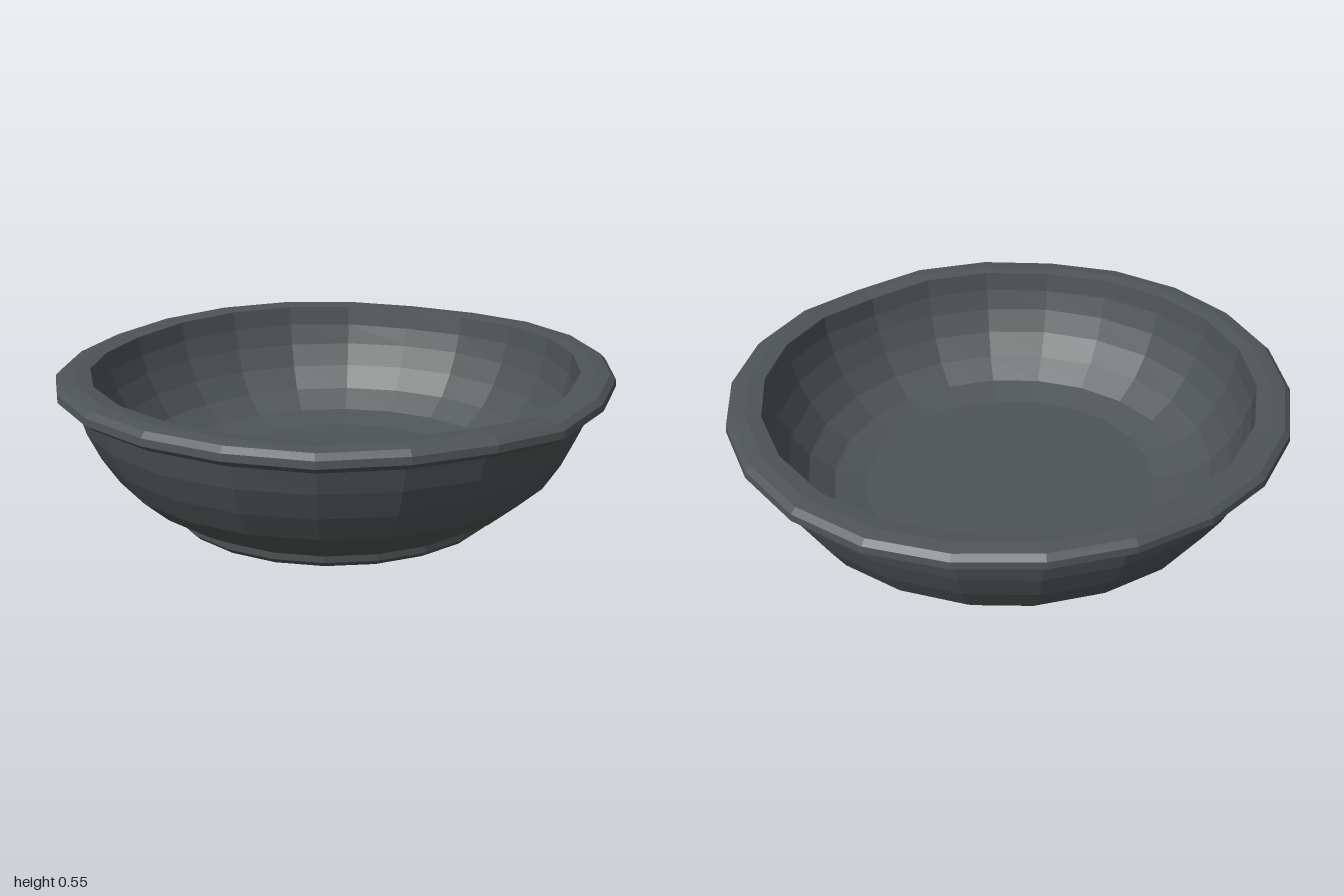
import * as THREE from 'three';

const SIDES = 22;
const bowlGrey = new THREE.MeshStandardMaterial({ color: 0x4f5454 });
bowlGrey.name = 'bowl grey';

// shallow dents around the rim: [angle in degrees from +x towards +z, depth, width in radians]
const dents = [[65, 0.022, 0.25], [-42, 0.016, 0.45], [222, 0.017, 0.45], [112, 0.009, 0.3]];

function rimOffset(angle) {
  let dy = 0;
  for (const [deg, depth, width] of dents) {
    const d = angle - THREE.MathUtils.degToRad(deg);
    const wrapped = Math.atan2(Math.sin(d), Math.cos(d));
    dy -= depth * Math.exp(-((wrapped / width) ** 2));
  }
  return dy;
}

// faceted ring surface from a profile, slightly oval, with the upper part dented
function turned(name, profile) {
  const points = profile.map(([r, y]) => new THREE.Vector2(r, y));
  const geo = new THREE.LatheGeometry(points, SIDES, Math.PI / 2).toNonIndexed();
  const p = geo.attributes.position;
  for (let i = 0; i < p.count; i++) {
    const x = p.getX(i), y = p.getY(i), z = p.getZ(i);
    const weight = THREE.MathUtils.smoothstep(y, 0.38, 0.465);
    p.setXYZ(i, x, y + weight * rimOffset(Math.atan2(z, x)), z * 0.97);
  }
  geo.computeVertexNormals();
  const mesh = new THREE.Mesh(geo, bowlGrey);
  mesh.name = name;
  return mesh;
}

export function createModel() {
  const bowl = new THREE.Group();
  bowl.name = 'bowl';
  bowl.add(
    // slightly recessed underside
    turned('base', [[0, 0.018], [0.54, 0.018]]),
    // standing ring
    turned('foot', [[0.54, 0.018], [0.585, 0], [0.595, 0], [0.615, 0.02], [0.617, 0.045]]),
    // outer wall
    turned('outerWall', [[0.617, 0.045], [0.715, 0.102], [0.805, 0.185], [0.865, 0.28],
      [0.91, 0.377], [0.935, 0.466]]),
    // rolled lip
    turned('rim', [[0.935, 0.466], [0.968, 0.476], [1, 0.5], [0.998, 0.525], [0.978, 0.543],
      [0.93, 0.548], [0.877, 0.543]]),
    // inner wall
    turned('innerWall', [[0.877, 0.543], [0.868, 0.47], [0.845, 0.385], [0.805, 0.3],
      [0.745, 0.215], [0.655, 0.15], [0.54, 0.12]]),
    // inner floor
    turned('floor', [[0.54, 0.12], [0, 0.12]]),
  );
  return bowl;
}
